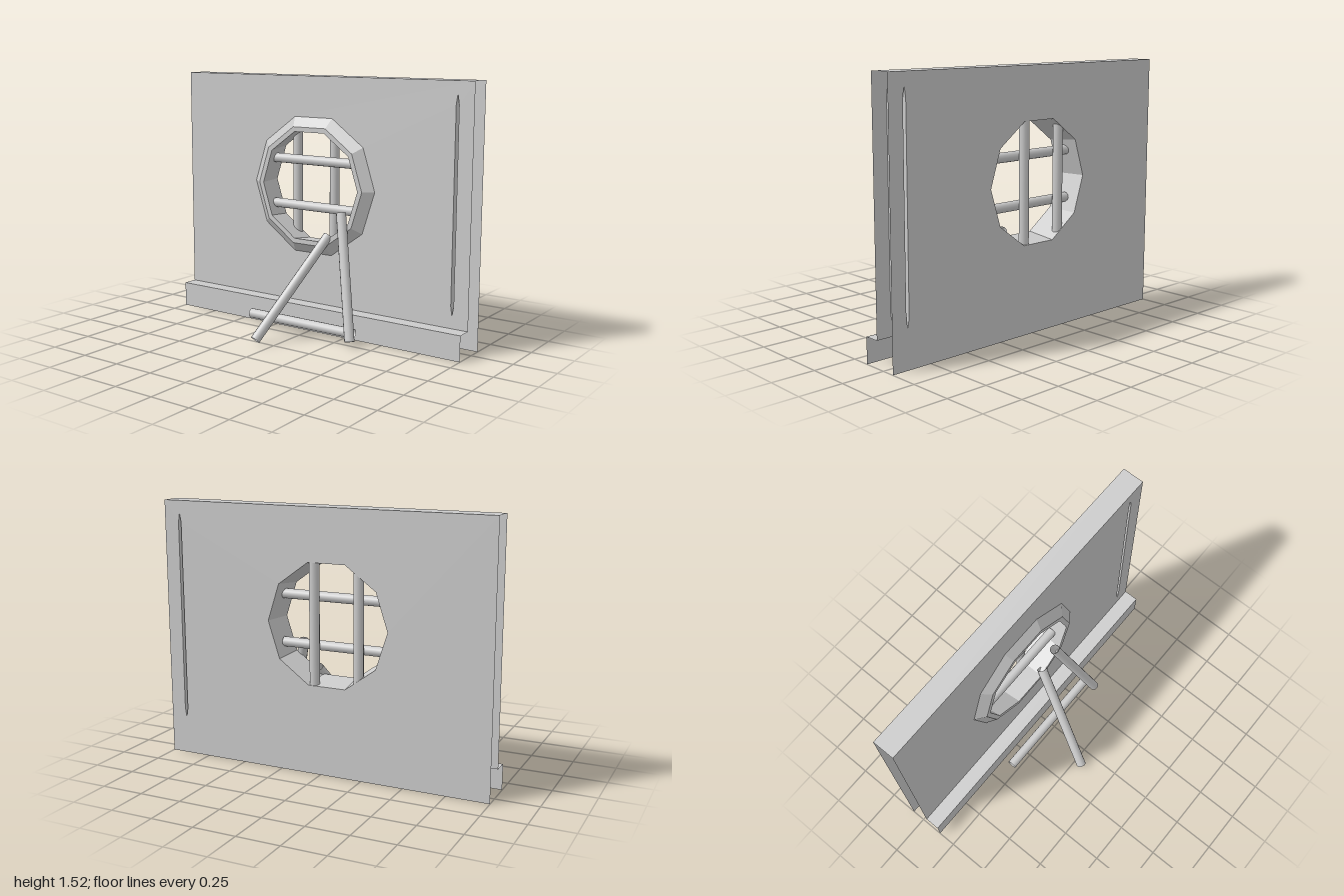
import * as THREE from 'three';

const grey = new THREE.MeshStandardMaterial({ color: 0xcccccc, side: THREE.DoubleSide });
const facet = new THREE.MeshStandardMaterial({ color: 0xcccccc, side: THREE.DoubleSide, flatShading: true });
const FRONT = -0.2, BACK = -0.33, TOP = 1.52;

function part(name, geometry, material = grey) {
  const mesh = new THREE.Mesh(geometry, material);
  mesh.name = name;
  return mesh;
}

// Ten-sided window outline and narrow pointed slit outline, around their own centres
const decagon = Array.from({ length: 10 }, (_, i) => {
  const a = (i * Math.PI) / 5;
  return new THREE.Vector2(Math.cos(a), Math.sin(a));
});
const slit = [[0.009, -0.557], [0.009, 0.557], [0, 0.615], [-0.009, 0.557], [-0.009, -0.557], [0, -0.615]]
  .map(([x, y]) => new THREE.Vector2(x, y));
const WINDOW = new THREE.Vector2(-0.04, 0.868);
const SLIT = new THREE.Vector2(0.9, 0.835);

// Band of quads following an outline through [z, scale] steps
function loft(outline, centre, steps) {
  const pos = [], index = [], n = outline.length;
  for (const [z, s] of steps)
    for (const p of outline) pos.push(centre.x + p.x * s, centre.y + p.y * s, z);
  for (let k = 0; k < steps.length - 1; k++)
    for (let i = 0; i < n; i++) {
      const a = k * n + i, b = k * n + ((i + 1) % n);
      index.push(a, b, a + n, b, b + n, a + n);
    }
  const g = new THREE.BufferGeometry();
  g.setAttribute('position', new THREE.Float32BufferAttribute(pos, 3));
  g.setIndex(index);
  g.computeVertexNormals();
  return g;
}

// Wall sheet with the window and slit cut out
function sheet(bottom, z, radius) {
  const s = new THREE.Shape([[-1, bottom], [1, bottom], [1, TOP], [-1, TOP]].map(([x, y]) => new THREE.Vector2(x, y)));
  const hole = (outline, c, r) => s.holes.push(new THREE.Path(outline.map(p => p.clone().multiplyScalar(r).add(c))));
  hole(decagon, WINDOW, radius);
  hole(slit, SLIT, 1);
  return new THREE.ShapeGeometry(s).translate(0, 0, z);
}

// Open round bar between two points
function bar(name, a, b, r = 0.029) {
  const from = new THREE.Vector3(...a), to = new THREE.Vector3(...b);
  const dir = to.clone().sub(from);
  const mesh = part(name, new THREE.CylinderGeometry(r, r, dir.length(), 12, 1, true));
  mesh.position.copy(from).add(to).multiplyScalar(0.5);
  mesh.quaternion.setFromUnitVectors(new THREE.Vector3(0, 1, 0), dir.normalize());
  return mesh;
}

export function createModel() {
  const model = new THREE.Group();
  model.name = 'barredWindowWall';

  // Hollow wall, open at both ends
  model.add(part('wallFront', sheet(0.15, FRONT, 0.43)));
  model.add(part('wallBack', sheet(0, BACK, 0.365).rotateY(0)));
  const depth = FRONT - BACK;
  model.add(part('wallTop', new THREE.PlaneGeometry(2, depth).rotateX(-Math.PI / 2).translate(0, TOP, (FRONT + BACK) / 2)));

  // Skirting that steps forward at the foot of the wall
  model.add(part('skirtingLedge', new THREE.PlaneGeometry(2, 0.09).rotateX(-Math.PI / 2).translate(0, 0.15, -0.155)));
  model.add(part('skirtingFace', new THREE.PlaneGeometry(2, 0.15).translate(0, 0.075, -0.11)));

  // Raised window surround running through to the back
  model.add(part('windowSurround', loft(decagon, WINDOW,
    [[FRONT, 0.43], [-0.155, 0.37], [-0.155, 0.34], [BACK, 0.365]]), facet));

  // Slit lining, pinched in the middle of the wall
  model.add(part('slitLining', loft(slit, SLIT, [[FRONT, 1], [-0.29, 0.98], [BACK, 1]]), facet));

  // Crossed bars in the window
  for (const x of [-0.222, 0.047]) model.add(bar('uprightBar', [x, 0.5, -0.3], [x, 1.23, -0.3]));
  for (const y of [1.015, 0.735]) model.add(bar('crossBar', [-0.35, y, -0.24], [0.27, y, -0.24]));

  // Loose bars leaning and lying in front
  model.add(bar('leaningBarLong', [-0.095, 0.03, 0.3], [0.09, 0.585, -0.17]));
  model.add(bar('leaningBarShort', [0.375, 0.035, 0.03], [0.19, 0.735, -0.155]));
  model.add(bar('fallenBar', [-0.385, 0.065, -0.035], [0.36, 0.065, -0.035]));
  return model;
}
